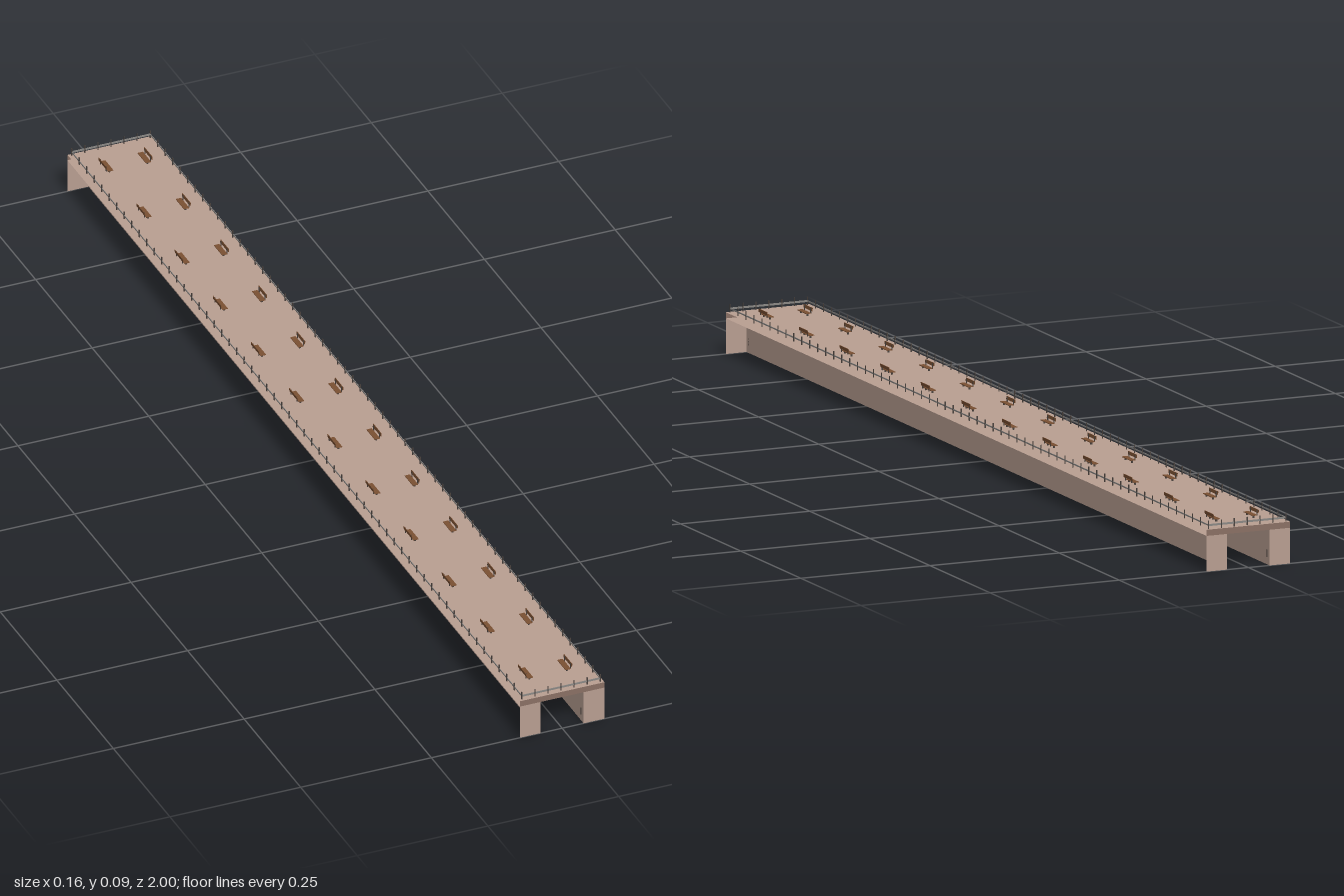
import * as THREE from 'three';

const mat = (name, color, side = THREE.FrontSide) => {
  const m = new THREE.MeshStandardMaterial({ color, side });
  m.name = name;
  return m;
};

export function createModel() {
  const planks = mat('pale planks', 0xb89e91, THREE.DoubleSide);
  const trim = mat('end trim', 0x8a7064, THREE.DoubleSide);
  const railGrey = mat('rail grey', 0x8a8784);
  const darkMetal = mat('dark metal', 0x4a423d);
  const benchWood = mat('bench wood', 0x7a5032);

  const pier = new THREE.Group();
  pier.name = 'pier';
  const W = 0.081, IN = 0.041, UNDER = 0.064, TOP = 0.075, RX = 0.075, RZ = 0.995;

  const group = (name, parent = pier) => {
    const g = new THREE.Group();
    g.name = name;
    parent.add(g);
    return g;
  };
  const box = (parent, name, m, w, h, d, x, y, z) => {
    const b = new THREE.Mesh(new THREE.BoxGeometry(w, h, d), m);
    b.name = name;
    b.position.set(x, y, z);
    parent.add(b);
    return b;
  };
  const plane = (parent, name, m, w, h, x, y, z, rx = 0, ry = 0) => {
    const p = new THREE.Mesh(new THREE.PlaneGeometry(w, h), m);
    p.name = name;
    p.position.set(x, y, z);
    p.rotation.set(rx, ry, 0);
    parent.add(p);
  };

  // Deck: top and underside sheets, open along the long sides
  plane(pier, 'deckTop', planks, 2 * W, 2, 0, TOP, 0, -Math.PI / 2);
  plane(pier, 'deckUnderside', planks, 2 * W, 2, 0, UNDER, 0, Math.PI / 2);

  // Fascia closing the deck at both ends
  for (const s of [1, -1])
    plane(pier, 'endFascia', trim, 2 * W, TOP - UNDER, 0, (TOP + UNDER) / 2, s, 0, s > 0 ? 0 : Math.PI);

  // Long support walls with a plate at each end
  for (const sx of [1, -1]) {
    const support = group(sx > 0 ? 'leftSupport' : 'rightSupport');
    plane(support, 'supportWall', planks, 2, UNDER, sx * IN, UNDER / 2, 0, 0, sx * Math.PI / 2);
    for (const sz of [1, -1]) {
      plane(support, 'endPlate', planks, W - IN, UNDER, sx * (W + IN) / 2, UNDER / 2, sz, 0, sz > 0 ? 0 : Math.PI);
      box(support, 'fender', darkMetal, 0.001, 0.014, 0.002, sx * (IN - 0.0005), 0.02, sz * 0.99);
    }
  }

  // Railing: one slim rail and a row of posts along every edge
  const railing = group('railing');
  const railY = 0.082, postTop = 0.09, t = 0.0016;
  const post = (x, z) => box(railing, 'railPost', darkMetal, t, postTop - TOP, t, x, (postTop + TOP) / 2, z);
  for (const s of [1, -1]) {
    box(railing, 'sideRail', railGrey, 0.001, 0.0025, 2 * RZ, s * RX, railY, 0);
    box(railing, 'endRail', railGrey, 2 * RX, 0.0035, 0.001, 0, railY, s * RZ);
    for (let i = 0; i <= 60; i++) post(s * RX, -RZ + (i / 60) * 2 * RZ);
    for (let i = 1; i < 6; i++) post(-RX + (i / 6) * 2 * RX, s * RZ);
  }

  // Two rows of benches facing the middle of the deck
  const benches = group('benches');
  for (let i = 0; i < 12; i++)
    for (const s of [1, -1]) {
      const bench = group('bench', benches);
      bench.position.set(s * 0.037, TOP, 0.925 - 0.1687 * i);
      box(bench, 'benchSeat', benchWood, 0.01, 0.0012, 0.036, -s * 0.001, 0.0052, 0);
      const back = box(bench, 'benchBack', benchWood, 0.001, 0.006, 0.036, s * 0.0065, 0.0115, 0);
      back.rotation.z = -s * 0.1;
      for (const z of [-0.013, 0.013]) {
        box(bench, 'benchLeg', darkMetal, 0.003, 0.005, 0.002, -s * 0.001, 0.0025, z);
        box(bench, 'backSupport', darkMetal, 0.0012, 0.01, 0.002, s * 0.0055, 0.0085, z);
      }
    }

  return pier;
}
